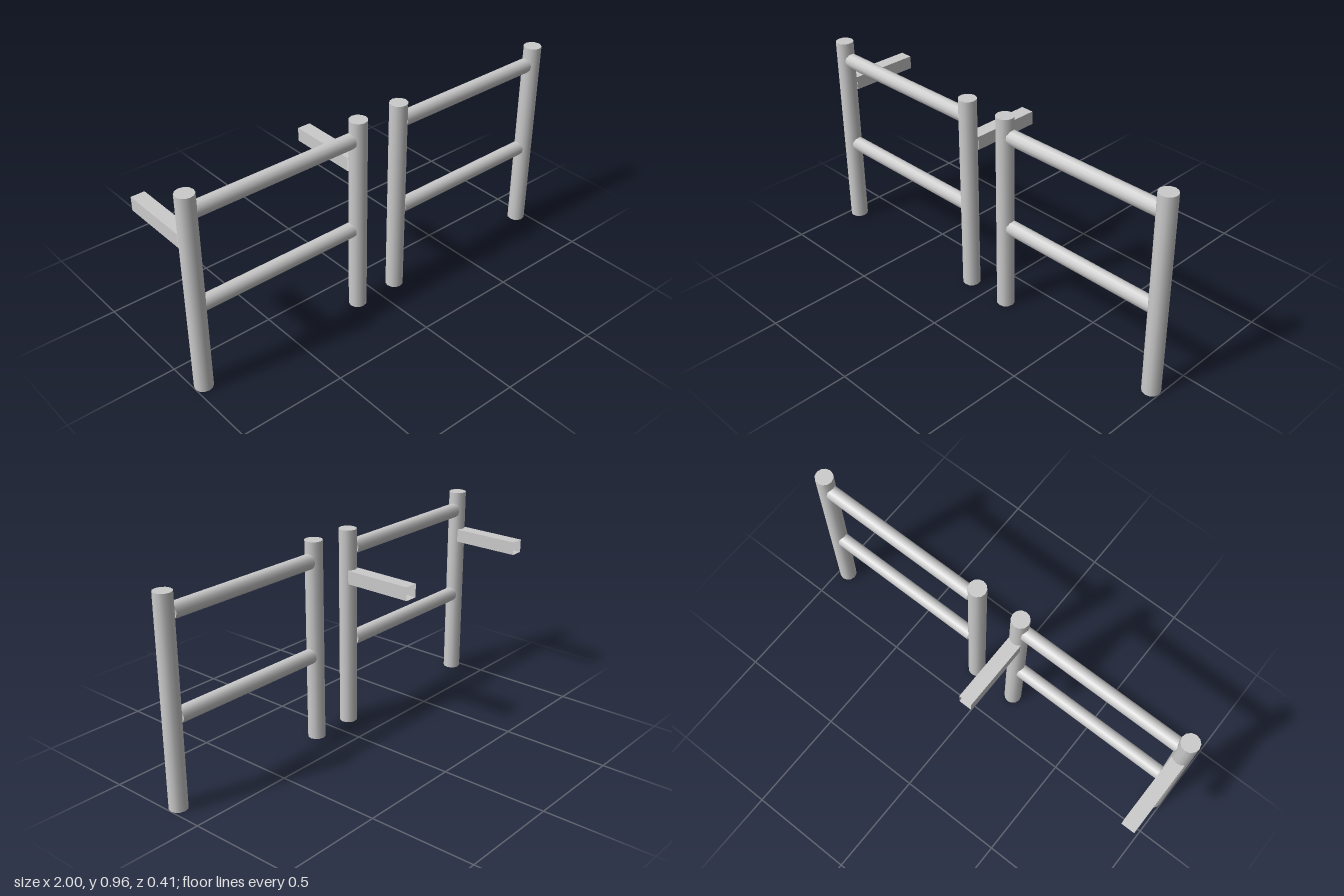
import * as THREE from 'three';

const POST_X = [0.113, 0.958];
const POST_Z = 0.163, POST_R = 0.0415, POST_H = 0.957;

export function createModel() {
  const model = new THREE.Group();
  const mat = new THREE.MeshStandardMaterial({ color: 0xcccccc, side: THREE.DoubleSide });
  const flatMat = mat.clone();
  flatMat.flatShading = true;

  const add = (parent, name, geometry, x, y, z, material = mat) => {
    const mesh = new THREE.Mesh(geometry, material);
    mesh.name = name;
    mesh.position.set(x, y, z);
    parent.add(mesh);
  };

  // Hollow post, open at the foot, with a flat cap on top
  const postGeo = new THREE.CylinderGeometry(POST_R, POST_R, POST_H, 12, 1, true);
  const capGeo = new THREE.CircleGeometry(POST_R, 12).rotateX(-Math.PI / 2);

  // Round rail between the facing sides of two posts
  const railLength = POST_X[1] - POST_X[0] - 2 * POST_R + 0.02;
  const railGeo = new THREE.CylinderGeometry(0.036, 0.036, railLength, 12, 1, true)
    .rotateZ(Math.PI / 2).scale(1, 1, 0.91);

  // Square tube arm, open at the back end
  const armFront = POST_Z - 0.03, armBack = -0.204;
  const armR = 0.032 * Math.SQRT2;
  const armGeo = new THREE.CylinderGeometry(armR, armR, armFront - armBack, 4, 1, true)
    .rotateY(Math.PI / 4).rotateX(Math.PI / 2);

  for (const side of [-1, 1]) {
    const frame = new THREE.Group();
    frame.name = side < 0 ? 'rightFrame' : 'leftFrame';
    model.add(frame);

    for (const px of POST_X) {
      add(frame, 'post', postGeo, side * px, POST_H / 2, POST_Z);
      add(frame, 'postCap', capGeo, side * px, POST_H, POST_Z);
      // Only the right frame carries rear arms
      if (side < 0) add(frame, 'arm', armGeo, -px, 0.737, (armFront + armBack) / 2, flatMat);
    }

    const midX = side * (POST_X[0] + POST_X[1]) / 2;
    for (const y of [0.417, 0.866]) add(frame, 'rail', railGeo, midX, y, 0.159);
  }
  return model;
}
